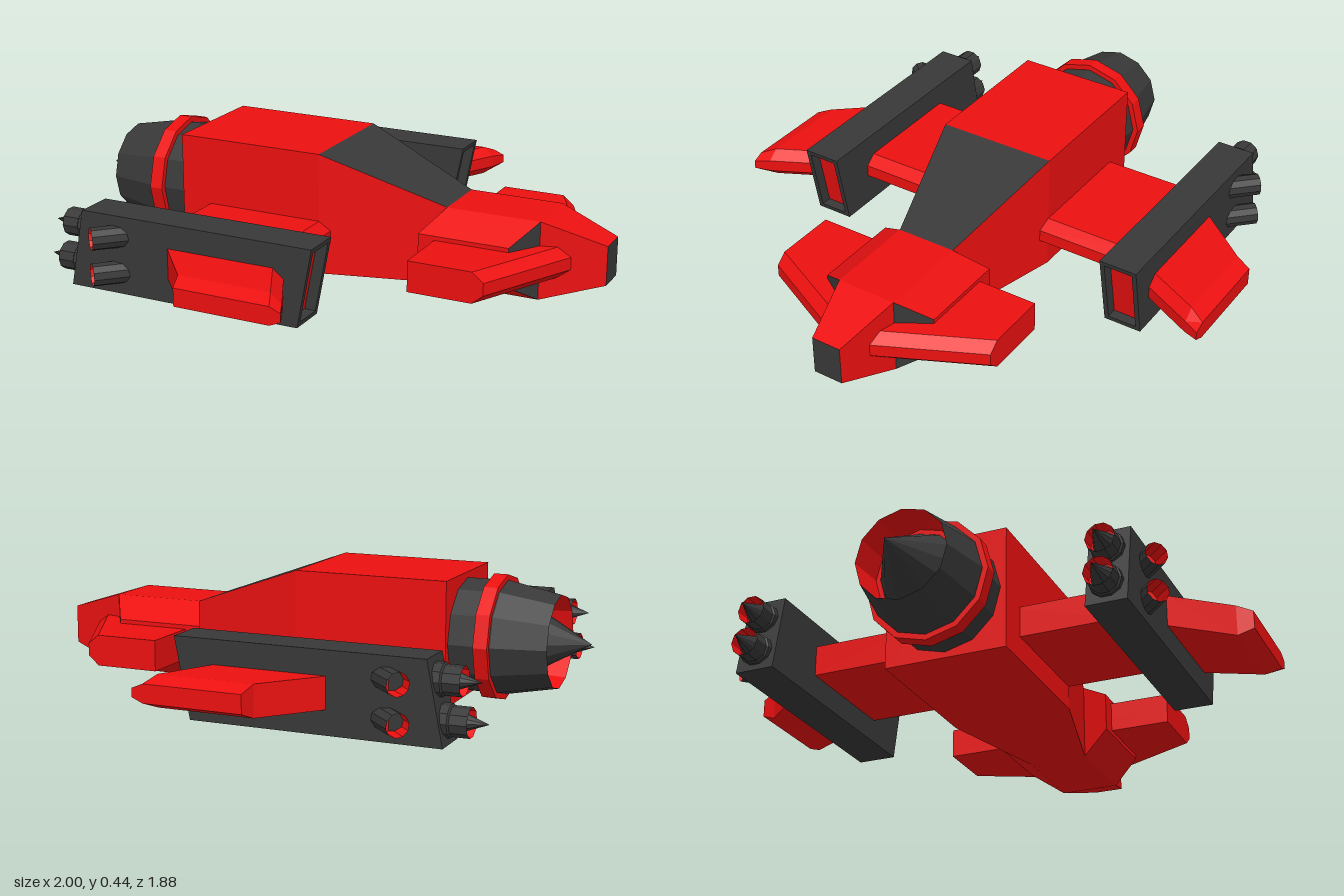
import * as THREE from 'three';

const mat = (color) => new THREE.MeshStandardMaterial({ color, flatShading: true, side: THREE.DoubleSide });
const red = mat(0xec1010), grey = mat(0x383838);

// Skin a row of matching rings and cap both ends; isGrey(step, side) picks grey faces,
// with step -1 for the first cap and rings.length - 1 for the last.
function loft(name, rings, isGrey = () => false) {
  const lists = [[], []], n = rings[0].length, last = rings.length - 1;
  const tri = (g, a, b, c) => lists[g ? 1 : 0].push([a, b, c]);
  for (let i = 0; i < last; i++) for (let j = 0; j < n; j++) {
    const k = (j + 1) % n, g = isGrey(i, j), [p, q] = [rings[i], rings[i + 1]];
    tri(g, p[j], p[k], q[k]);
    tri(g, p[j], q[k], q[j]);
  }
  for (let j = 1; j < n - 1; j++) {
    tri(isGrey(-1, j), rings[0][0], rings[0][j + 1], rings[0][j]);
    tri(isGrey(last, j), rings[last][0], rings[last][j], rings[last][j + 1]);
  }
  // turn the faces outward whichever way the rings run
  let volume = 0;
  const V = (p) => new THREE.Vector3(...p);
  lists.flat().forEach(([a, b, c]) => { volume += V(a).dot(V(b).cross(V(c))); });
  const flat = (list) => list.flatMap(([a, b, c]) => (volume < 0 ? [a, c, b] : [a, b, c])).flat();
  const r = flat(lists[0]), d = flat(lists[1]);
  const geo = new THREE.BufferGeometry();
  geo.setAttribute('position', new THREE.Float32BufferAttribute([...r, ...d], 3));
  geo.addGroup(0, r.length / 3, 0);
  geo.addGroup(r.length / 3, d.length / 3, 1);
  geo.computeVertexNormals();
  const mesh = new THREE.Mesh(geo, [red, grey]);
  mesh.name = name;
  return mesh;
}

// Upright rectangle across the x axis; shear leans it forward with height
const rect = (x, y0, y1, z0, z1, shear = 0) =>
  [[y0, z0], [y0, z1], [y1, z1], [y1, z0]].map(([y, z]) => [x + shear * y, y, z]);

// Wing section: blunt rear, bevelled front; h and e are half heights of body and edge
const foil = (z, back, flat, tip, h = 0.055, e = 0.022) =>
  [[back, -h], [flat, -h], [tip, -e], [tip, e], [flat, h], [back, h]].map(([x, y]) => [x, 0.14 + y, z]);

const lathe = (name, points, material, sides) => {
  const mesh = new THREE.Mesh(new THREE.LatheGeometry(points.map((p) => new THREE.Vector2(...p)), sides), material);
  mesh.name = name;
  return mesh;
};

// Exhaust: grey shell, red lining, optional grey spike; blows along dir
function thruster(name, pos, dir, shell, floor, spike, sides) {
  const g = new THREE.Group();
  g.name = name;
  const [mouthR, mouthH] = shell[shell.length - 1];
  g.add(lathe('shell', shell, grey, sides));
  g.add(lathe('lining', [[0, floor], [mouthR * 0.96, floor], [mouthR, mouthH]], red, sides));
  if (spike) g.add(lathe('spike', [[spike[0], floor], [0, spike[1]]], grey, sides));
  g.position.set(...pos);
  g.quaternion.setFromUnitVectors(new THREE.Vector3(0, 1, 0), new THREE.Vector3(...dir).normalize());
  return g;
}

export function createModel() {
  const model = new THREE.Group();
  model.name = 'spacecraft';

  // Fuselage with grey canopy slope and grey nose tip
  model.add(loft('fuselage', [
    rect(-0.555, 0, 0.44, -0.22, 0.22),
    rect(0, 0, 0.44, -0.22, 0.22),
    rect(0.44, 0, 0.28, -0.11, 0.11),
    rect(0.78, 0, 0.28, -0.11, 0.11),
    rect(1, 0.07, 0.21, -0.055, 0.055),
  ], (i, j) => i === 4 || (i === 1 && j === 2)));

  // Main engine and its collar
  const engine = thruster('mainEngine', [-0.555, 0.22, 0], [-1, 0, 0],
    [[0.2, 0], [0.2, 0.15], [0.163, 0.335]], 0.2, [0.14, 0.445], 12);
  engine.add(lathe('collar', [[0.19, 0.095], [0.22, 0.095], [0.22, 0.145], [0.19, 0.145]], red, 12));
  model.add(engine);

  for (const s of [1, -1]) {
    const side = new THREE.Group();
    side.name = s > 0 ? 'nearSide' : 'farSide';
    model.add(side);

    // Cheek intake with grey front
    const cheek = (x0, x1, y0, y1, z) => [[x0, y0, z], [x1, y0, z], [x1, y1, z], [x0, y1, z]];
    side.add(loft('cheekIntake', [
      cheek(0.44, 0.78, 0, 0.28, s * 0.11),
      cheek(0.38, 0.71, 0.07, 0.21, s * 0.22),
    ], (i, j) => i === 0 && j === 1));

    // Wings
    side.add(loft('canard', [foil(s * 0.05, 0.44, 0.86, 0.9), foil(s * 0.44, 0.44, 0.67, 0.71)]));
    side.add(loft('innerWing', [foil(s * 0.2, -0.44, 0, 0.04), foil(s * 0.57, -0.44, 0, 0.04)]));
    side.add(loft('outerWing', [
      foil(s * 0.69, -0.33, 0.075, 0.115),
      foil(s * 0.885, -0.165, 0.175, 0.215),
      foil(s * 0.94, -0.15, 0.2, 0.24, 0.032, 0.015),
    ]));

    // Weapon pod with a recessed red front panel
    const pod = (x, inset) => rect(x, inset, 0.28 - inset, s * (0.555 + inset), s * (0.695 - inset), 0.196);
    side.add(loft('pod', [pod(-0.72, 0), pod(0.165, 0), pod(0.165, 0.017), pod(0.125, 0.017)], (i) => i !== 3));

    // Rear and side thrusters, an upper and a lower one each
    for (const y of [0.075, 0.205]) {
      const x = -0.72 + 0.196 * y;
      side.add(thruster('rearThruster', [x + 0.025, y, s * 0.625], [-1, 0, 0],
        [[0.056, 0], [0.056, 0.045], [0.05, 0.05], [0.05, 0.11]], 0.055, [0.042, 0.168], 10));
      side.add(thruster('sideThruster', [-0.495, y, s * 0.655], [-0.7, 0, s * 0.7],
        [[0.04, 0], [0.04, 0.14]], 0.06, null, 10));
    }
  }
  return model;
}
